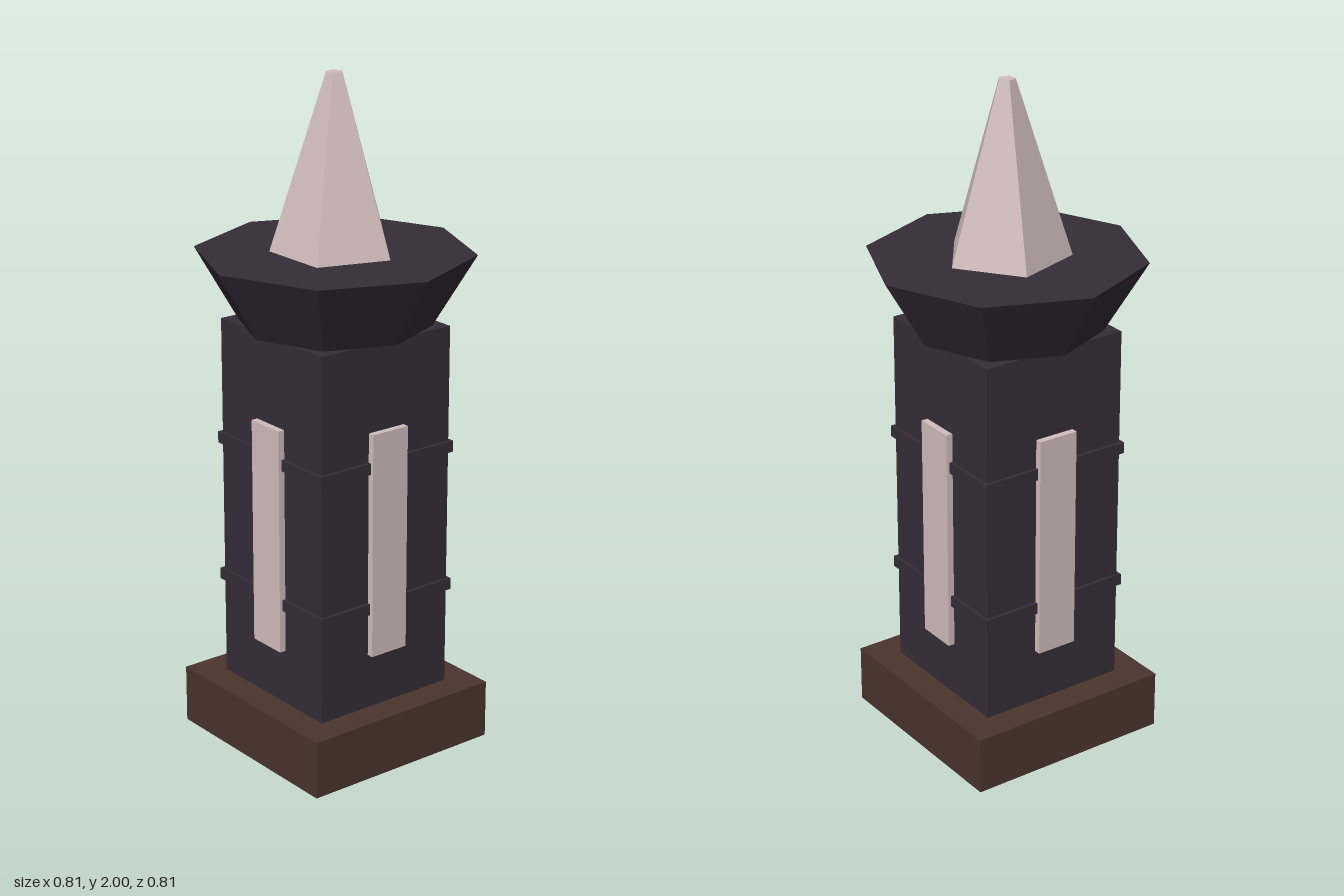
import * as THREE from 'three';

export function createModel() {
  const model = new THREE.Group();
  model.name = 'crystalPillar';

  const material = (name, color) => {
    const m = new THREE.MeshStandardMaterial({ color, flatShading: true });
    m.name = name;
    return m;
  };
  const wood = material('dark brown', 0x4a352c);
  const stone = material('dark violet stone', 0x352d37);
  const crystal = material('pale pink crystal', 0xd2bebe);

  const add = (name, geometry, mat, y, parent = model) => {
    const mesh = new THREE.Mesh(geometry, mat);
    mesh.name = name;
    mesh.position.y = y;
    parent.add(mesh);
    return mesh;
  };

  // Square foot and column
  add('base', new THREE.BoxGeometry(0.64, 0.175, 0.64), wood, 0.0875);
  add('column', new THREE.BoxGeometry(0.464, 1.105, 0.464), stone, 0.7275);

  // Thin bands around the column
  for (const y of [0.488, 0.918]) {
    add('band', new THREE.BoxGeometry(0.484, 0.034, 0.484), stone, y);
  }

  // One glowing panel on each side of the column
  for (let i = 0; i < 4; i++) {
    const side = new THREE.Group();
    side.name = 'panelSide';
    side.rotation.y = (i * Math.PI) / 2;
    add('panel', new THREE.BoxGeometry(0.126, 0.68, 0.02), crystal, 0.682, side).position.z = 0.242;
    model.add(side);
  }

  // Flared eight-sided capital
  add('capital', new THREE.CylinderGeometry(0.403, 0.278, 0.21, 8), stone, 1.385);

  // Five-sided blunt crystal, one edge towards the back
  add('crystal', new THREE.CylinderGeometry(0.025, 0.185, 0.51, 5), crystal, 1.745).rotation.y = Math.PI;

  return model;
}
